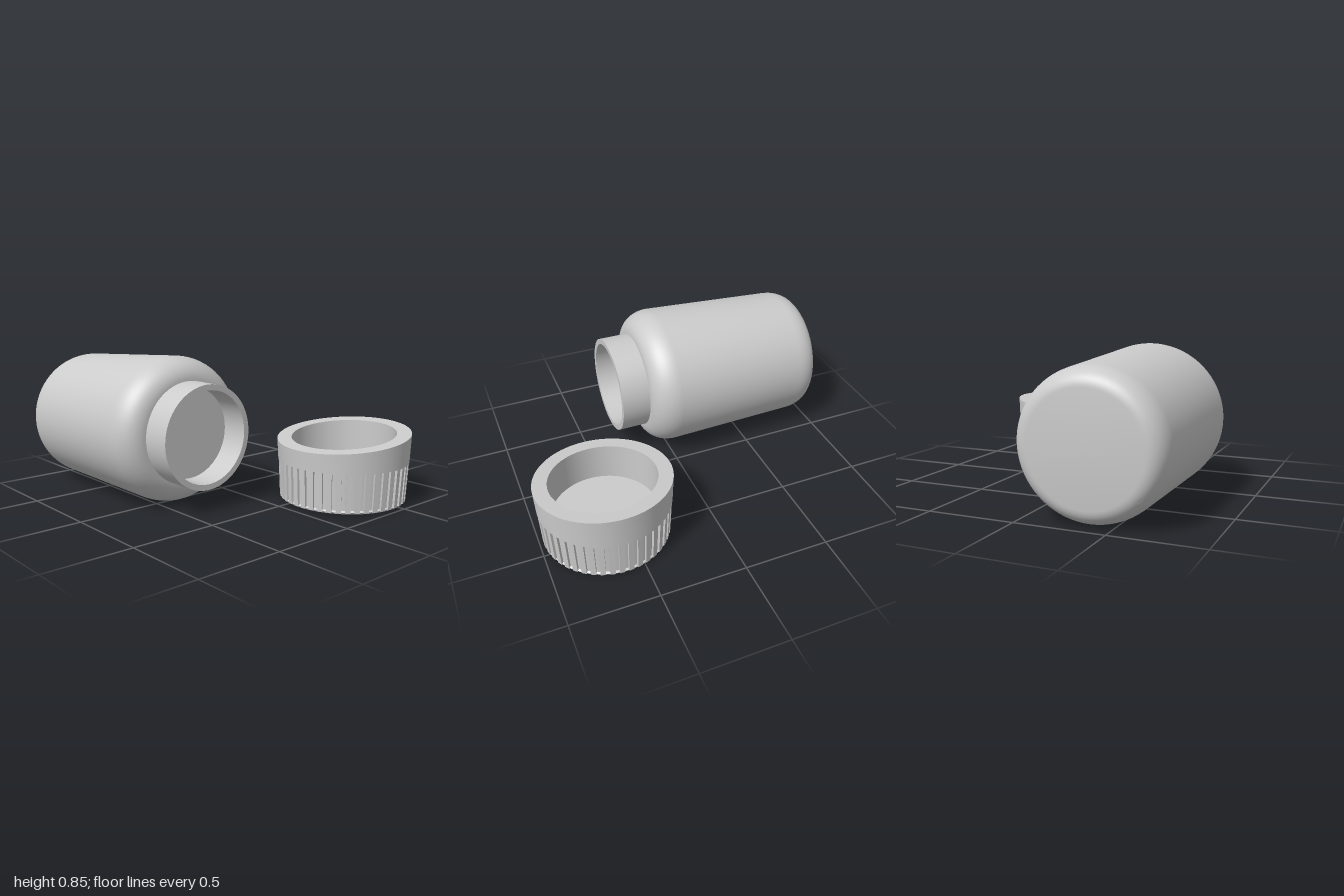
import * as THREE from 'three';
import { toCreasedNormals } from 'three/addons/utils/BufferGeometryUtils.js';

const material = new THREE.MeshStandardMaterial({ color: 0xcccccc });

// Move every vertex of a geometry by a rule
function deform(geometry, rule) {
  const p = geometry.attributes.position;
  const v = new THREE.Vector3();
  for (let i = 0; i < p.count; i++) {
    rule(v.fromBufferAttribute(p, i));
    p.setXYZ(i, v.x, v.y, v.z);
  }
  return geometry;
}

function addMesh(parent, name, geometry, crease = 0.6) {
  const mesh = new THREE.Mesh(toCreasedNormals(geometry, crease), material);
  mesh.name = name;
  parent.add(mesh);
  return mesh;
}

function createBottle() {
  const bottle = new THREE.Group();
  bottle.name = 'bottle';

  // Body: flat base, round heel, slight taper, round shoulder
  const body = new THREE.Path();
  body.moveTo(0, -0.99);
  body.lineTo(0.3, -0.99);
  body.bezierCurveTo(0.36, -0.985, 0.394, -0.93, 0.396, -0.85);
  body.lineTo(0.424, -0.02);
  body.bezierCurveTo(0.424, 0.07, 0.37, 0.145, 0.29, 0.145);
  const bodyGeometry = new THREE.LatheGeometry(body.getPoints(14), 72).rotateZ(-Math.PI / 2);
  // The body axis dips towards the base, and the base leans with it
  deform(bodyGeometry, (v) => {
    const back = Math.max(0, -v.x);
    v.x -= 0.03 * v.y * back;
    v.y += 0.428 - 0.03 * back;
    v.z = v.z * 1.025 + 0.368 + 0.012 * back;
  });
  addMesh(bottle, 'bottleBody', bodyGeometry);

  // Neck: open tube with a flat floor inside
  const neck = [[0.296, 0.13], [0.296, 0.318], [0.263, 0.318], [0.263, 0.15], [0, 0.15]];
  const neckGeometry = new THREE.LatheGeometry(neck.map(([r, x]) => new THREE.Vector2(r, x)), 64);
  neckGeometry.rotateZ(-Math.PI / 2).translate(0, 0.427, 0.37);
  addMesh(bottle, 'bottleNeck', neckGeometry);
  return bottle;
}

function createCap() {
  const cap = new THREE.Group();
  cap.name = 'cap';
  cap.position.set(0.61, 0, -0.42);

  // Shell: recessed grip band, collar with a slanted rim, deep hollow
  const profile = [
    [0, 0.01], [0.36, 0.01], [0.366, 0.02], [0.356, 0.028], [0.366, 0.24], [0.382, 0.24],
    [0.389, 0.386], [0.305, 0.386], [0.305, 0.13], [0, 0.13],
  ];
  const shell = new THREE.LatheGeometry(profile.map(([r, y]) => new THREE.Vector2(r, y)), 88);
  deform(shell, (v) => {
    if (v.y > 0.3) v.y -= 0.104 * v.z;
  });
  addMesh(cap, 'capShell', shell);

  // Grip ribs around the lower wall, leaning outwards with the taper
  const ribs = new THREE.Group();
  ribs.name = 'gripRibs';
  const count = 44;
  const rib = new THREE.BoxGeometry(0.03, 0.226, 0.022);
  deform(rib, (v) => {
    v.z += 0.363 + 0.05 * v.y;
    v.y += 0.128;
  });
  for (let i = 0; i < count; i++) {
    const mesh = addMesh(ribs, 'gripRib', rib);
    mesh.rotation.y = ((i + 0.5) / count) * Math.PI * 2;
  }
  cap.add(ribs);
  return cap;
}

export function createModel() {
  const model = new THREE.Group();
  model.name = 'bottleAndCap';
  model.add(createBottle(), createCap());
  return model;
}
